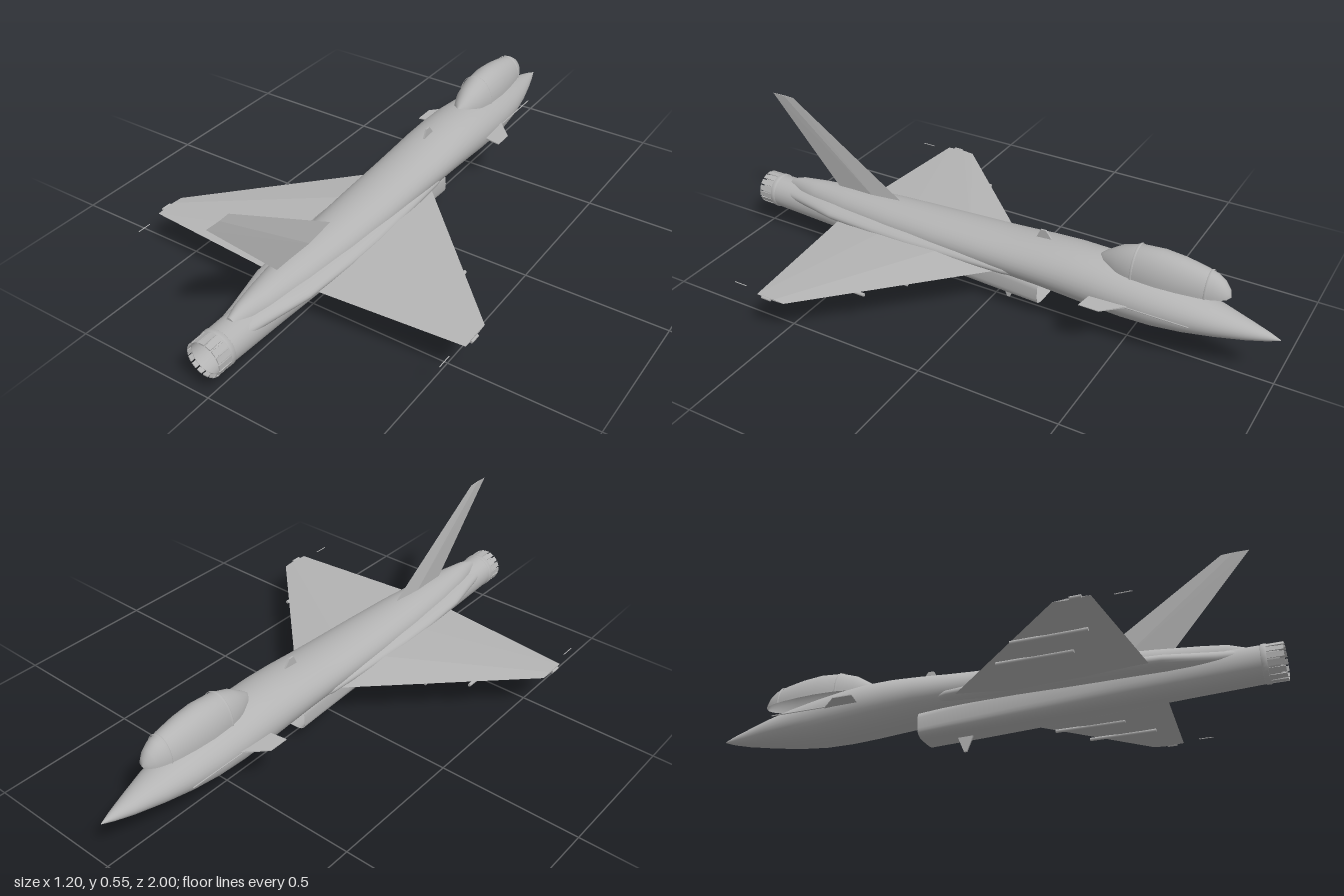
import * as THREE from 'three';
import { ConvexGeometry } from 'three/addons/geometries/ConvexGeometry.js';

// Smooth skin through cross-sections [z, halfWidth, yBottom, yTop, roundness]
function loft(sections, { arc = Math.PI * 2, n = 36, capStart = false, capEnd = false } = {}) {
  const closed = arc > 6, pos = [], idx = [];
  const cols = closed ? n : n + 1;
  for (const [z, w, yb, yt, e = 1] of sections) {
    const mid = closed ? (yb + yt) / 2 : yb;
    const h = closed ? (yt - yb) / 2 : yt - yb;
    for (let j = 0; j < cols; j++) {
      const a = (j / n) * arc, c = Math.cos(a), s = Math.sin(a);
      pos.push(w * Math.sign(c) * Math.abs(c) ** e, mid + h * Math.sign(s) * Math.abs(s) ** e, z);
    }
  }
  for (let i = 0; i < sections.length - 1; i++) {
    for (let j = 0; j < n; j++) {
      const a = i * cols + j, b = i * cols + ((j + 1) % cols), c = a + cols, d = b + cols;
      idx.push(a, b, c, b, d, c);
    }
  }
  // Caps use their own vertices so the rim stays sharp
  const cap = (row, end) => {
    const start = pos.length / 3;
    const [z, , yb, yt] = sections[row];
    for (let k = row * cols * 3; k < (row + 1) * cols * 3; k++) pos.push(pos[k]);
    pos.push(0, (yb + yt) / 2, z);
    for (let j = 0; j < n; j++) {
      const a = start + j, b = start + ((j + 1) % cols);
      idx.push(start + cols, end ? a : b, end ? b : a);
    }
  };
  if (capStart) cap(0, false);
  if (capEnd) cap(sections.length - 1, true);
  const g = new THREE.BufferGeometry();
  g.setAttribute('position', new THREE.Float32BufferAttribute(pos, 3));
  g.setIndex(idx);
  g.computeVertexNormals();
  return g;
}

// Straight solid between corner points
const hull = (points) => new ConvexGeometry(points.map((p) => new THREE.Vector3(...p)));

// Rod along z
function rod(r, z0, z1, x, y, r2 = r) {
  const g = new THREE.CylinderGeometry(r2, r, z1 - z0, 10);
  return g.rotateX(Math.PI / 2).translate(x, y, (z0 + z1) / 2);
}

export function createModel() {
  const model = new THREE.Group();
  model.name = 'deltaJet';
  const grey = new THREE.MeshStandardMaterial({ color: 0xb4b4b4, side: THREE.DoubleSide });
  grey.name = 'airframeGrey';
  const add = (name, geometry, parent = model) => {
    const m = new THREE.Mesh(geometry, grey);
    m.name = name;
    parent.add(m);
    return m;
  };

  // Fuselage from nose tip to the tapering rear spine
  add('fuselage', loft([
    [-1, 0.001, 0.169, 0.171], [-0.96, 0.016, 0.155, 0.185], [-0.9, 0.036, 0.141, 0.2],
    [-0.8, 0.065, 0.124, 0.225], [-0.7, 0.086, 0.109, 0.247], [-0.6, 0.1, 0.1, 0.265],
    [-0.5, 0.109, 0.1, 0.28], [-0.4, 0.113, 0.106, 0.29], [-0.3, 0.113, 0.114, 0.291],
    [-0.2, 0.112, 0.122, 0.285], [-0.1, 0.109, 0.125, 0.277], [0, 0.106, 0.125, 0.271],
    [0.2, 0.1, 0.125, 0.263], [0.4, 0.09, 0.125, 0.256], [0.6, 0.072, 0.125, 0.247],
    [0.75, 0.05, 0.13, 0.236], [0.83, 0.033, 0.14, 0.228], [0.88, 0.018, 0.15, 0.212],
  ], { capEnd: true }));

  // Wing root fairing along both flanks
  add('rootFairing', loft([
    [-0.18, 0.08, 0.14, 0.2], [-0.08, 0.108, 0.14, 0.21], [0.1, 0.117, 0.137, 0.215],
    [0.3, 0.123, 0.135, 0.215], [0.45, 0.119, 0.135, 0.213], [0.64, 0.104, 0.135, 0.208],
    [0.72, 0.085, 0.135, 0.204], [0.8, 0.066, 0.135, 0.2], [0.88, 0.05, 0.14, 0.195],
  ], { capEnd: true }));

  // Belly intake blending into the round engine tube
  add('engineTube', loft([
    [-0.195, 0.071, 0.05, 0.145, 0.55], [0, 0.071, 0.054, 0.17, 0.6],
    [0.25, 0.07, 0.061, 0.19, 0.7], [0.5, 0.068, 0.069, 0.2, 0.85],
    [0.7, 0.064, 0.076, 0.203, 0.95], [0.94, 0.06, 0.085, 0.205, 1],
  ]));
  add('intakeDuct', loft([
    [-0.195, 0.068, 0.053, 0.143, 0.55], [-0.1, 0.062, 0.06, 0.145, 0.6], [0.1, 0.055, 0.07, 0.15, 0.8],
  ], { capEnd: true }));

  // Bubble canopy, open underneath, with two frame hoops
  add('canopy', loft([
    [-0.83, 0.001, 0.27, 0.272], [-0.822, 0.021, 0.27, 0.297], [-0.805, 0.034, 0.27, 0.32],
    [-0.78, 0.045, 0.27, 0.337], [-0.74, 0.055, 0.27, 0.348], [-0.67, 0.064, 0.27, 0.361],
    [-0.6, 0.068, 0.27, 0.367], [-0.52, 0.064, 0.27, 0.361], [-0.46, 0.051, 0.27, 0.341],
    [-0.41, 0.03, 0.27, 0.308], [-0.38, 0.002, 0.27, 0.282],
  ], { arc: Math.PI, n: 28 }));
  for (const [z, w, top] of [[-0.76, 0.052, 0.345], [-0.52, 0.066, 0.363]]) {
    add('canopyFrame', loft([
      [z - 0.004, w, 0.27, top], [z, w + 0.002, 0.27, top + 0.002], [z + 0.004, w, 0.27, top],
    ], { arc: Math.PI, n: 28 }));
  }

  // Fin and small blades on the centreline
  add('tailFin', hull([
    [0, 0.24, 0.37], [0.008, 0.24, 0.5], [-0.008, 0.24, 0.5], [0, 0.24, 0.66],
    [0, 0.553, 0.84], [0.002, 0.553, 0.88], [-0.002, 0.553, 0.88], [0, 0.553, 0.93],
  ]));
  for (const [name, y0, y1, z0, z1, z2, z3] of [
    ['dorsalBlade', 0.28, 0.313, -0.215, -0.155, -0.19, -0.17],
    ['ventralBlade', 0.06, 0.0, -0.02, -0.08, -0.045, -0.055],
  ]) {
    const corners = [[y0, z0], [y0, z1], [y1, z2], [y1, z3]];
    add(name, hull(corners.flatMap(([y, z]) => [[0.003, y, z], [-0.003, y, z]])));
  }

  // Paired wings, canards, pods and probes
  for (const s of [1, -1]) {
    const side = new THREE.Group();
    side.name = s > 0 ? 'leftSide' : 'rightSide';
    model.add(side);
    const X = s;
    add('deltaWing', hull([
      [0.08 * X, 0.165, -0.07], [0.08 * X, 0.183, 0.15], [0.08 * X, 0.15, 0.15],
      [0.08 * X, 0.178, 0.4], [0.08 * X, 0.153, 0.4], [0.08 * X, 0.163, 0.602],
      [0.592 * X, 0.157, 0.45], [0.592 * X, 0.16, 0.49], [0.592 * X, 0.154, 0.49],
      [0.592 * X, 0.157, 0.56],
    ]), side);
    add('canard', hull([0.003, -0.003].flatMap((t) => [
      [0.08 * X, 0.193 + t, -0.56], [0.17 * X, 0.193 + t / 2, -0.465],
      [0.17 * X, 0.193 + t / 2, -0.395], [0.08 * X, 0.193 + t, -0.41],
    ])), side);
    for (const [x, z0, z1] of [[0.295, 0.17, 0.42], [0.415, 0.26, 0.5]]) {
      add('underwingPod', rod(0.006, z0, z1, x * X, 0.15), side);
    }
    add('wingtipLight', rod(0.005, 0.5, 0.535, 0.596 * X, 0.157), side);
    add('staticWick', rod(0.0015, 0.62, 0.67, 0.573 * X, 0.157), side);
    add('noseProbe', rod(0.002, -0.74, -0.53, 0.11 * X, 0.193), side);
  }

  // Exhaust nozzle with collar, petals and flame holder
  const nozzle = new THREE.Group();
  nozzle.name = 'nozzle';
  nozzle.position.set(0, 0.145, 0);
  model.add(nozzle);
  const turned = (pts) => new THREE.LatheGeometry(pts.map((p) => new THREE.Vector2(...p)), 32).rotateX(Math.PI / 2);
  add('nozzleCollar', turned([[0.058, 0.928], [0.063, 0.932], [0.063, 0.946], [0.058, 0.95]]), nozzle);
  add('nozzleBarrel', turned([[0.06, 0.94], [0.058, 0.985], [0.055, 0.985], [0.052, 0.93], [0.048, 0.88], [0, 0.88]]), nozzle);
  for (let i = 0; i < 16; i++) {
    const a = (i / 16) * Math.PI * 2;
    const petal = add('nozzlePetal', new THREE.BoxGeometry(0.018, 0.004, 0.052), nozzle);
    petal.position.set(-Math.sin(a) * 0.0585, Math.cos(a) * 0.0585, 0.973);
    petal.rotation.z = a;
  }
  add('flameHolderRing', new THREE.TorusGeometry(0.032, 0.002, 8, 32).translate(0, 0, 0.9), nozzle);
  add('exhaustCone', rod(0.016, 0.88, 0.93, 0, 0, 0.003), nozzle);
  for (let i = 0; i < 8; i++) {
    const spoke = add('flameHolderSpoke', new THREE.BoxGeometry(0.003, 0.036, 0.006).translate(0, 0.031, 0.9), nozzle);
    spoke.rotation.z = (i / 8) * Math.PI * 2;
  }
  return model;
}
